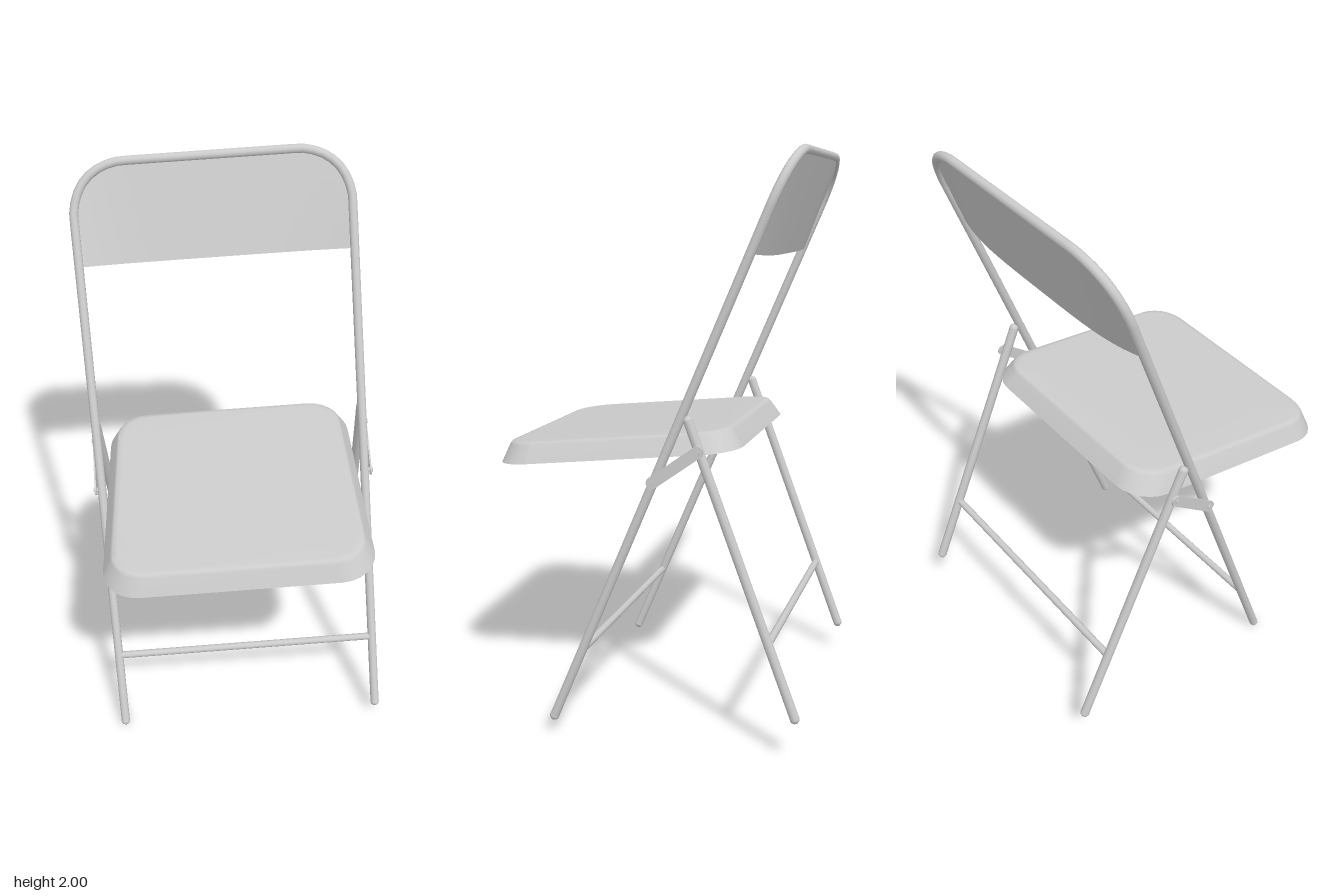
import * as THREE from 'three';

const V = (x, y, z = 0) => new THREE.Vector3(x, y, z);
const material = new THREE.MeshStandardMaterial({ color: 0xcccccc, side: THREE.DoubleSide });

const HALF = 0.482;   // half spacing of the side tubes
const TOP = 2.085;    // height of the frame measured along its tubes
const BEND = 0.17;    // size of the upper frame bends
const R = 0.016;      // tube radius

function mesh(geometry, name) {
  const m = new THREE.Mesh(geometry, material);
  m.name = name;
  return m;
}

// Straight round bar between two points
function bar(p, q, r, name) {
  const m = mesh(new THREE.CylinderGeometry(r, r, p.distanceTo(q), 10), name);
  m.position.copy(p).lerp(q, 0.5);
  m.quaternion.setFromUnitVectors(V(0, 1, 0), q.clone().sub(p).normalize());
  return m;
}

function ball(p, name) {
  const m = mesh(new THREE.SphereGeometry(R * 1.05, 10, 8), name);
  m.position.copy(p);
  return m;
}

// Indexed grid surface; point(i, j) gives each vertex
function grid(rows, cols, point) {
  const pos = [], index = [];
  for (let i = 0; i <= rows; i++)
    for (let j = 0; j <= cols; j++) pos.push(...point(i, j).toArray());
  for (let i = 0; i < rows; i++)
    for (let j = 0; j < cols; j++) {
      const a = i * (cols + 1) + j, b = a + cols + 1;
      index.push(a, b, a + 1, b, b + 1, a + 1);
    }
  const g = new THREE.BufferGeometry();
  g.setAttribute('position', new THREE.Float32BufferAttribute(pos, 3));
  g.setIndex(index);
  g.computeVertexNormals();
  return g;
}

// One bent tube: front legs, sides and top of the back
function frameTube() {
  const path = new THREE.CurvePath();
  const s = TOP - BEND, w = HALF - BEND;
  path.add(new THREE.LineCurve3(V(-HALF, 0), V(-HALF, s)));
  path.add(new THREE.QuadraticBezierCurve3(V(-HALF, s), V(-HALF + 0.02, TOP - 0.02), V(-w, TOP)));
  path.add(new THREE.LineCurve3(V(-w, TOP), V(w, TOP)));
  path.add(new THREE.QuadraticBezierCurve3(V(w, TOP), V(HALF - 0.02, TOP - 0.02), V(HALF, s)));
  path.add(new THREE.LineCurve3(V(HALF, s), V(HALF, 0)));
  return new THREE.TubeGeometry(path, 140, R, 10);
}

// Thin back panel, bowed backwards between the side tubes
function backPanel() {
  const cols = 32, rows = 4, low = 1.735;
  return grid(rows, cols, (i, j) => {
    const t = -Math.cos((j / cols) * Math.PI);
    const x = t * (HALF - 0.003);
    const k = Math.max(0, (Math.abs(x) - (HALF - BEND)) / BEND);
    const high = TOP - BEND * (1 - Math.sqrt(Math.max(0, 1 - k * k)));
    const v = i / rows;
    return V(x, low + (high - low) * v, -0.035 * (1 - t ** 4) * (1 - 0.7 * v));
  });
}

// Seat pan: rounded square top with a flared skirt, open below
function seatPan() {
  const rings = [[0, 0, 1], [0.03, 0.058, 1], [0.038, 0.067, 1], [0.055, 0.07, 1],
    [0.055, 0.07, 0.7], [0.055, 0.07, 0.35], [0.055, 0.07, 0]];
  const arc = 6, cols = 4 * (arc + 1), radius = 0.125;
  return grid(rings.length - 1, cols, (i, j) => {
    const [inset, y, scale] = rings[i];
    const n = j % cols, corner = Math.floor(n / (arc + 1));
    const phi = (corner + (n % (arc + 1)) / arc) * Math.PI / 2;
    const sx = corner === 0 || corner === 3 ? 1 : -1, sz = corner < 2 ? 1 : -1;
    const r = radius - inset * 0.5;
    const halfW = (sz > 0 ? 0.455 : 0.44) - inset, halfD = 0.43 - inset;
    return V((sx * (halfW - r) + r * Math.cos(phi)) * scale, y,
      (sz * (halfD - r) + r * Math.sin(phi)) * scale);
  });
}

// Flat hinge strip with rounded ends, in the side plane
function hingeStrip(p, q) {
  const length = p.distanceTo(q), w = 0.02;
  const s = new THREE.Shape();
  s.absarc(length / 2, 0, w, -Math.PI / 2, Math.PI / 2);
  s.absarc(-length / 2, 0, w, Math.PI / 2, Math.PI * 1.5);
  const g = new THREE.ExtrudeGeometry(s, { depth: 0.006, bevelEnabled: false, curveSegments: 6 });
  g.translate(0, 0, -0.003);
  const d = q.clone().sub(p).normalize(), side = V(1, 0, 0);
  const m = mesh(g, 'hingeStrip');
  m.quaternion.setFromRotationMatrix(
    new THREE.Matrix4().makeBasis(d, side.clone().cross(d), side));
  m.position.copy(p).lerp(q, 0.5);
  return m;
}

export function createModel() {
  const group = new THREE.Group();
  group.name = 'foldingChair';

  // The chair is built in the plane of its main frame, then leaned and turned
  const chair = new THREE.Group();
  chair.name = 'chair';
  group.add(chair);

  chair.add(mesh(frameTube(), 'mainFrame'));
  chair.add(mesh(backPanel(), 'backPanel'));
  chair.add(bar(V(-HALF, 0.272), V(HALF, 0.272), 0.013, 'frontCrossbar'));

  const seat = mesh(seatPan(), 'seat');
  seat.position.set(-0.003, 0.916, 0.174);
  seat.rotation.x = 0.504;
  chair.add(seat);

  // Rear legs, feet and hinges on both sides
  const legLine = (x, t) => V(x, 0.41 + 0.756 * t, -0.743 + 0.717 * t);
  for (const s of [-1, 1]) {
    const x = s * HALF;
    chair.add(bar(legLine(x, 0), legLine(x, 1), R * 1.05, 'rearLeg'));
    chair.add(ball(legLine(x, 0), 'rearFoot'), ball(legLine(x, 1), 'rearLegCap'));
    chair.add(ball(V(x, 0), 'frontFoot'));
    const hx = x + s * 0.022;
    const low = V(hx, 0.93, 0), high = legLine(hx, 0.9);
    chair.add(hingeStrip(low, high));
    for (const p of [low, high])
      chair.add(bar(V(x, p.y, p.z), V(hx + s * 0.008, p.y, p.z), 0.009, 'hingePin'));
  }
  chair.add(bar(legLine(-HALF, 0.254), legLine(HALF, 0.254), 0.013, 'rearCrossbar'));

  // Lean and turn of the whole chair
  const across = V(0.949, 0.05, 0.31).normalize();
  const up = V(0.08, 1, -0.405);
  up.addScaledVector(across, -up.dot(across)).normalize();
  chair.quaternion.setFromRotationMatrix(
    new THREE.Matrix4().makeBasis(across, up, across.clone().cross(up)));
  chair.position.set(-0.1025, 0.04, 0.32);
  return group;
}
